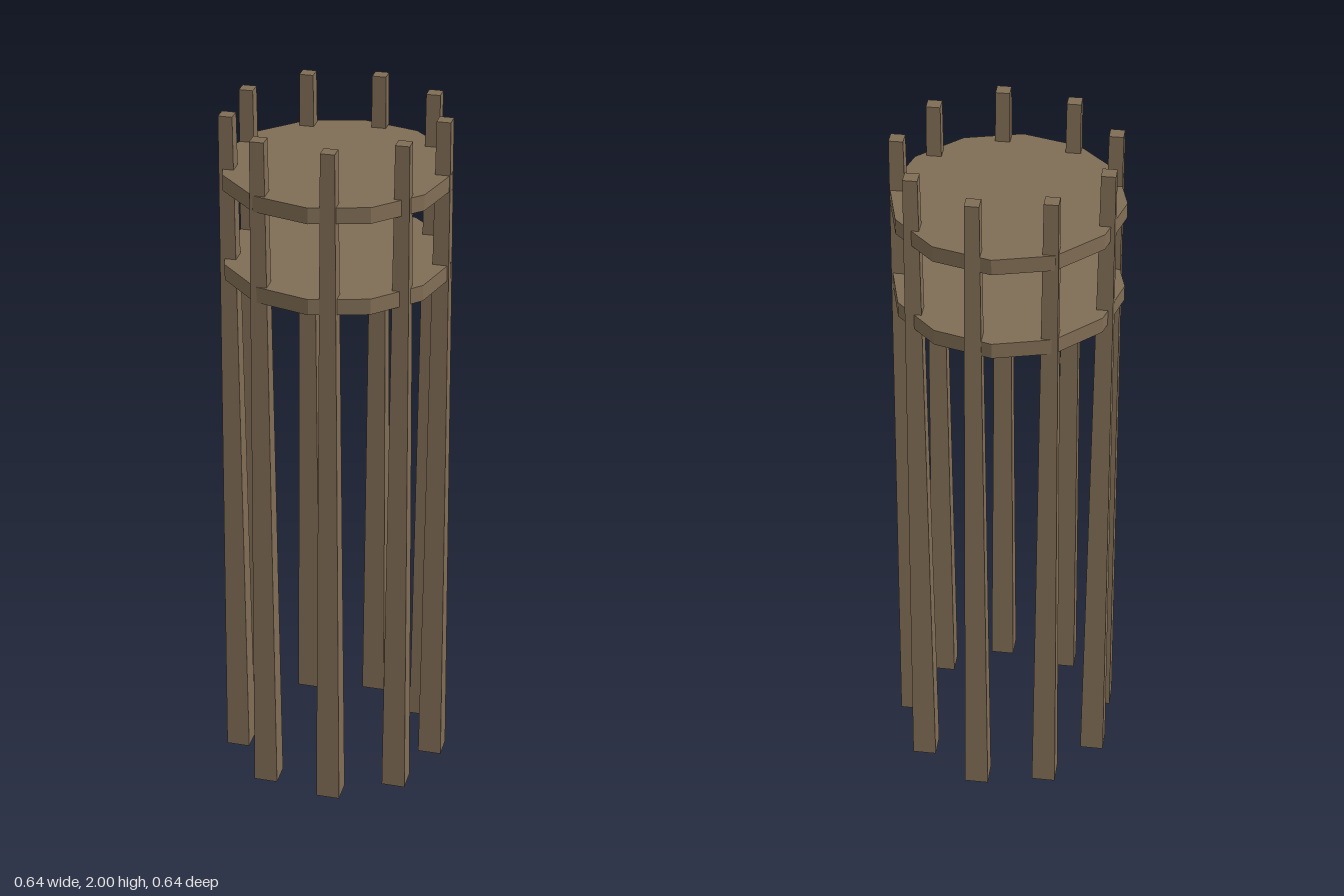
import * as THREE from 'three';

const CENTRE_X = -0.005;
const POST_COUNT = 9;
const POST_RING = 0.291;

export function createModel() {
  const model = new THREE.Group();
  model.name = 'woodenTower';
  const wood = new THREE.MeshStandardMaterial({ color: 0x806d55, flatShading: true });

  // Square tapered posts, all aligned to the axes
  const postGeometry = new THREE.CylinderGeometry(0.0385 * Math.SQRT1_2, 0.068 * Math.SQRT1_2, 2, 4);
  postGeometry.rotateY(Math.PI / 4);
  const posts = new THREE.Group();
  posts.name = 'posts';
  for (let i = 0; i < POST_COUNT; i++) {
    const angle = (i / POST_COUNT) * Math.PI * 2;
    const post = new THREE.Mesh(postGeometry, wood);
    post.name = `post${i + 1}`;
    post.position.set(CENTRE_X + POST_RING * Math.cos(angle), 1, POST_RING * Math.sin(angle));
    posts.add(post);
  }
  model.add(posts);

  // Two solid twelve-sided platforms
  const platformGeometry = new THREE.CylinderGeometry(0.315, 0.315, 0.045, 12);
  for (const [name, y] of [['lowerPlatform', 1.57], ['upperPlatform', 1.829]]) {
    const platform = new THREE.Mesh(platformGeometry, wood);
    platform.name = name;
    platform.position.set(CENTRE_X, y, 0);
    model.add(platform);
  }
  return model;
}
